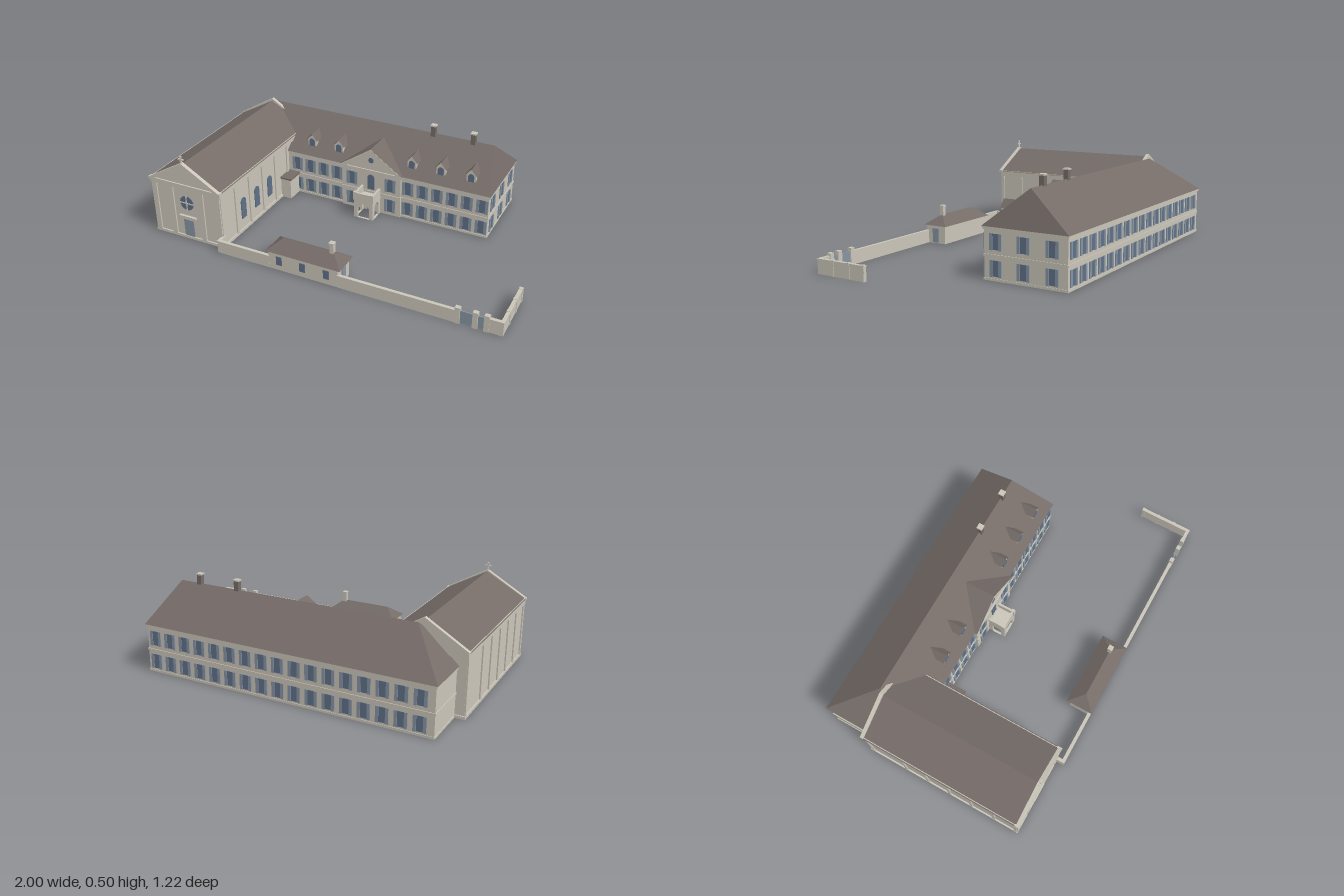
import * as THREE from 'three';

const mat = (name, color) => {
  const m = new THREE.MeshStandardMaterial({ color, side: THREE.DoubleSide });
  m.name = name;
  return m;
};

export function createModel() {
  const stone = mat('stone', 0xcac5b8), slate = mat('slate', 0x756c68);
  const glass = mat('glass', 0x5f7087), paint = mat('shutterPaint', 0x8694a2);
  const root = new THREE.Group();
  root.name = 'courtyardBuildings';

  const group = (name, parent = root) => {
    const g = new THREE.Group();
    g.name = name;
    parent.add(g);
    return g;
  };
  const add = (parent, name, geo, m) => {
    const mesh = new THREE.Mesh(geo, m);
    mesh.name = name;
    parent.add(mesh);
    return mesh;
  };
  // Box given by its limits
  const box = (p, name, m, x0, x1, y0, y1, z0, z1) => add(p, name,
    new THREE.BoxGeometry(x1 - x0, y1 - y0, z1 - z0).translate((x0 + x1) / 2, (y0 + y1) / 2, (z0 + z1) / 2), m);
  // Four walls without floor or ceiling
  const shell = (p, name, m, ...b) => {
    const mesh = box(p, name, m, ...b), i = Array.from(mesh.geometry.index.array);
    mesh.geometry.clearGroups();
    mesh.geometry.setIndex([...i.slice(0, 12), ...i.slice(24)]);
    return mesh;
  };
  const poly = (pts) => new THREE.Shape(pts.map(([x, y]) => new THREE.Vector2(x, y)));
  const extrude = (shape, depth) => new THREE.ExtrudeGeometry(shape, { depth, bevelEnabled: false, curveSegments: 10 });
  // Moulding that runs round a rectangular block
  const band = (p, name, x0, x1, z0, z1, y0, y1, out) => {
    const rect = (o) => [[x0 - o, -z1 - o], [x1 + o, -z1 - o], [x1 + o, -z0 + o], [x0 - o, -z0 + o]];
    const s = poly(rect(out));
    s.holes.push(poly(rect(-0.002)));
    add(p, name, extrude(s, y1 - y0).rotateX(-Math.PI / 2).translate(0, y0, 0), stone);
  };
  // Flat polygons in 3D, fanned into triangles
  const faces = (p, name, m, list) => {
    const pos = [];
    for (const f of list) for (let i = 1; i < f.length - 1; i++) pos.push(...f[0], ...f[i], ...f[i + 1]);
    const g = new THREE.BufferGeometry();
    g.setAttribute('position', new THREE.Float32BufferAttribute(pos, 3));
    g.computeVertexNormals();
    return add(p, name, g, m);
  };
  const hipRoof = (p, name, x0, x1, z0, z1, y0, y1, r0, r1, rz) => {
    const a = [x0, y0, z1], b = [x1, y0, z1], c = [x1, y0, z0], d = [x0, y0, z0], e = [r0, y1, rz], f = [r1, y1, rz];
    faces(p, name, slate, [[a, b, f, e], [b, c, f], [c, d, e, f], [d, a, e]]);
  };
  // Gable roof along z; ridge and eaves may end at different depths
  const gableRoof = (p, name, cx, w, y0, y1, zf, zEave, zRidge) => faces(p, name, slate, [
    [[cx + w, y0, zf], [cx + w, y0, zEave], [cx, y1, zRidge], [cx, y1, zf]],
    [[cx - w, y0, zEave], [cx - w, y0, zf], [cx, y1, zf], [cx, y1, zRidge]]]);
  // Gable wall and its raking coping
  const pediment = (p, name, cx, w, y0, y1, z, depth) => {
    add(p, name, extrude(poly([[cx - w, y0], [cx + w, y0], [cx, y1]]), depth).translate(0, 0, z), stone);
    const t = 0.018;
    add(p, name + 'Coping', extrude(poly([[cx - w, y0], [cx - w + t * 2, y0], [cx, y1 - t],
      [cx + w - t * 2, y0], [cx + w, y0], [cx, y1 + 0.004]]), depth + 0.008).translate(0, 0, z), stone);
  };
  const archShape = (w, y0, y1) => {
    const r = w / 2, s = new THREE.Shape();
    s.moveTo(-r, y0);
    s.lineTo(r, y0);
    s.lineTo(r, y1 - r);
    s.absarc(0, y1 - r, r, 0, Math.PI, false);
    s.closePath();
    return s;
  };
  const archWindow = (p, x, w, y0, y1, z = 0) =>
    add(p, 'archedWindow', extrude(archShape(w, y0, y1), 0.004).translate(x, 0, z), glass);
  // Facade frame: local x runs along the wall, z points outwards
  const facade = (p, name, x, z, turn) => {
    const g = group(name, p);
    g.position.set(x, 0, z);
    g.rotation.y = turn;
    return g;
  };
  const shutteredWindow = (p, x, y) => {
    box(p, 'windowPane', glass, x - 0.017, x + 0.017, y, y + 0.077, 0, 0.003);
    for (const s of [-1, 1])
      box(p, 'shutter', paint, x + s * 0.025 - 0.008, x + s * 0.025 + 0.008, y - 0.002, y + 0.079, 0, 0.006);
  };
  const twoFloors = (p, xs) => xs.forEach((x) => [0.022, 0.15].forEach((y) => shutteredWindow(p, x, y)));
  const row = (start, step, n) => Array.from({ length: n }, (_, i) => start + step * i);

  // Main wing
  const main = group('mainWing');
  const X0 = -0.94, X1 = 0.66, Z0 = -0.6, Z1 = -0.15, C = -0.025;
  shell(main, 'mainWalls', stone, X0, X1, 0, 0.26, Z0, Z1);
  band(main, 'plinth', X0, X1, Z0, Z1, 0, 0.012, 0.003);
  band(main, 'stringCourse', X0, X1, Z0, Z1, 0.116, 0.128, 0.004);
  band(main, 'cornice', X0, X1, Z0, Z1, 0.246, 0.26, 0.007);
  hipRoof(main, 'mainRoof', -0.95, 0.67, -0.61, -0.14, 0.26, 0.447, -0.75, 0.6, -0.37);
  twoFloors(facade(main, 'frontWindows', 0, Z1, 0),
    [...row(C - 0.478, 0.086, 4), ...row(C + 0.22, 0.086, 6)]);
  twoFloors(facade(main, 'backWindows', 0, Z0, Math.PI), row(-0.61, 0.0925, 17));
  twoFloors(facade(main, 'endWindows', X1, 0, Math.PI / 2), [0.215, 0.367, 0.52]);

  // Central projecting bay
  const bay = group('centralBay', main);
  box(bay, 'bayWall', stone, C - 0.18, C + 0.18, 0, 0.26, Z1, -0.137);
  box(bay, 'bayStringCourse', stone, C - 0.182, C + 0.182, 0.116, 0.128, Z1, -0.133);
  box(bay, 'bayCornice', stone, C - 0.19, C + 0.19, 0.248, 0.262, Z1, -0.13);
  pediment(bay, 'bayPediment', C, 0.188, 0.26, 0.385, -0.15, 0.013);
  gableRoof(bay, 'bayRoof', C, 0.193, 0.26, 0.392, -0.127, -0.14, -0.303);
  const bayFront = facade(bay, 'bayWindows', 0, -0.137, 0);
  twoFloors(bayFront, [C - 0.118, C + 0.118]);
  archWindow(bayFront, C, 0.042, 0.14, 0.232);
  archWindow(bayFront, C, 0.042, 0.0, 0.092);
  add(bayFront, 'roundWindow', new THREE.CylinderGeometry(0.016, 0.016, 0.004, 16).rotateX(Math.PI / 2).translate(C, 0.322, 0.002), glass);

  // Balcony porch on arches
  const porch = group('balconyPorch', main);
  const arcade = (w, x, z, turn) => {
    const s = poly([[-w / 2, 0], [-w / 2, 0.155], [w / 2, 0.155], [w / 2, 0]]);
    s.holes.push(archShape(w - 0.046, 0.0005, 0.092));
    add(facade(porch, 'arcadeSide', x, z, turn), 'arcade', extrude(s, 0.012).translate(0, 0, -0.012), stone);
  };
  arcade(0.116, C, -0.038, 0);
  arcade(0.1, C + 0.058, -0.087, Math.PI / 2);
  arcade(0.1, C - 0.058, -0.087, -Math.PI / 2);
  box(porch, 'balconyFloor', stone, C - 0.057, C + 0.057, 0.105, 0.115, -0.137, -0.04);
  for (const s of [-1, 1])
    box(porch, 'balconyPost', stone, C + s * 0.053 - 0.009, C + s * 0.053 + 0.009, 0.11, 0.16, -0.052, -0.034);

  // Dormers
  for (const x of [-0.425, -0.253, 0.197, 0.367, 0.54]) {
    const d = group('dormer', main);
    d.position.x = x;
    add(d, 'dormerBody', extrude(poly([[-0.027, 0.29], [0.027, 0.29], [0.027, 0.34], [0, 0.368], [-0.027, 0.34]]), 0.075)
      .translate(0, 0, -0.265), stone);
    archWindow(d, 0, 0.034, 0.3, 0.346, -0.19);
    gableRoof(d, 'dormerRoof', 0, 0.035, 0.335, 0.375, -0.183, -0.235, -0.284);
  }

  // Chimneys
  const chimney = (p, x, z, w, y0, y1, m) => {
    box(p, 'chimneyStack', m, x - w / 2, x + w / 2, y0, y1 - 0.008, z - w / 2, z + w / 2);
    const c = w / 2 + 0.003;
    box(p, 'chimneyCap', stone, x - c, x + c, y1 - 0.008, y1, z - c, z + c);
  };
  for (const x of [0.25, 0.483]) chimney(main, x, -0.365, 0.026, 0.41, 0.5, slate);

  // Chapel
  const chapel = group('chapel');
  const K = -0.775, W = 0.212;
  shell(chapel, 'chapelWalls', stone, K - W, K + W, 0, 0.335, -0.345, 0.548);
  band(chapel, 'chapelFrieze', K - W, K + W, -0.345, 0.548, 0.302, 0.335, 0.008);
  band(chapel, 'chapelPlinth', K - W, K + W, -0.345, 0.548, 0, 0.015, 0.008);
  gableRoof(chapel, 'chapelRoof', K, 0.225, 0.33, 0.456, 0.55, -0.345, -0.345);
  pediment(chapel, 'frontPediment', K, 0.222, 0.335, 0.46, 0.545, 0.013);
  box(chapel, 'frontCornice', stone, K - 0.225, K + 0.225, 0.325, 0.337, 0.54, 0.566);
  pediment(chapel, 'rearGable', K, 0.225, 0.335, 0.466, -0.355, 0.012);
  for (const s of [-1, 1]) {
    const side = facade(chapel, 'chapelSide', K + s * W, 0, s * Math.PI / 2);
    for (const z of [0.54, 0.41, 0.275, 0.142, 0.008, -0.125, -0.335])
      box(side, 'pilaster', stone, -s * z - 0.009, -s * z + 0.009, 0, 0.303, 0, 0.007);
    if (s > 0) for (const z of [0.342, 0.208, 0.075]) archWindow(side, -z, 0.046, 0.075, 0.2);
  }
  const front = facade(chapel, 'chapelFront', K, 0.548, 0);
  for (const s of [-1, 1]) {
    box(front, 'cornerPilaster', stone, s * 0.2 - 0.015, s * 0.2 + 0.015, 0, 0.303, 0, 0.008);
    box(front, 'innerPilaster', stone, s * 0.095 - 0.015, s * 0.095 + 0.015, 0, 0.303, 0, 0.008);
  }
  box(front, 'door', paint, -0.031, 0.031, 0.015, 0.115, 0, 0.004);
  box(front, 'doorLedge', stone, -0.053, 0.053, 0.132, 0.142, 0, 0.015);
  add(front, 'roseWindow', new THREE.CylinderGeometry(0.042, 0.042, 0.004, 24).rotateX(Math.PI / 2).translate(0, 0.22, 0.002), glass);
  box(front, 'roseMullion', stone, -0.003, 0.003, 0.178, 0.262, 0, 0.007);
  box(front, 'roseTransom', stone, -0.042, 0.042, 0.217, 0.223, 0, 0.007);
  box(chapel, 'crossUpright', stone, K - 0.004, K + 0.004, 0.45, 0.504, 0.554, 0.562);
  box(chapel, 'crossArm', stone, K - 0.016, K + 0.016, 0.481, 0.488, 0.554, 0.562);

  // Small annex in the courtyard corner
  const annex = group('annex');
  shell(annex, 'annexWalls', stone, -0.564, -0.5, 0, 0.125, -0.15, -0.052);
  box(annex, 'annexRoof', slate, -0.564, -0.492, 0.122, 0.132, -0.15, -0.044);

  // Gatehouse
  const lodge = group('gatehouse');
  shell(lodge, 'gatehouseWalls', stone, -0.252, 0.145, 0, 0.107, 0.472, 0.597);
  hipRoof(lodge, 'gatehouseRoof', -0.265, 0.16, 0.455, 0.606, 0.103, 0.158, -0.195, 0.09, 0.531);
  chimney(lodge, 0.083, 0.531, 0.022, 0.13, 0.21, stone);
  for (const x of [-0.19, -0.055, 0.08])
    box(lodge, 'gatehouseWindow', glass, x - 0.016, x + 0.016, 0.032, 0.082, 0.597, 0.601);
  box(lodge, 'gatehouseSideDoor', paint, 0.145, 0.149, 0.005, 0.085, 0.515, 0.555);

  // Courtyard wall with gates
  const wall = group('courtyardWall');
  const stretch = (x0, x1, z0, z1, h) => {
    box(wall, 'wallStretch', stone, x0, x1, 0, h, z0, z1);
    box(wall, 'wallCoping', stone, x0 - 0.002, x1 + 0.002, h - 0.008, h, z0 - 0.002, z1 + 0.002);
  };
  stretch(-0.565, -0.25, 0.584, 0.598, 0.072);
  stretch(0.143, 0.765, 0.584, 0.598, 0.072);
  stretch(0.92, 0.995, 0.584, 0.598, 0.078);
  stretch(-0.565, -0.551, 0.54, 0.598, 0.072);
  stretch(0.981, 0.995, 0.3, 0.598, 0.078);
  for (const z of [0.31, 0.4, 0.5]) box(wall, 'wallPier', stone, 0.978, 0.998, 0, 0.08, z - 0.009, z + 0.009);
  for (const x of [0.77, 0.858, 0.914]) box(wall, 'gatePier', stone, x - 0.013, x + 0.013, 0, 0.09, 0.579, 0.602);
  box(wall, 'carriageGate', paint, 0.78, 0.848, 0.003, 0.072, 0.588, 0.594);
  box(wall, 'footGate', paint, 0.868, 0.904, 0.003, 0.072, 0.588, 0.594);
  return root;
}
